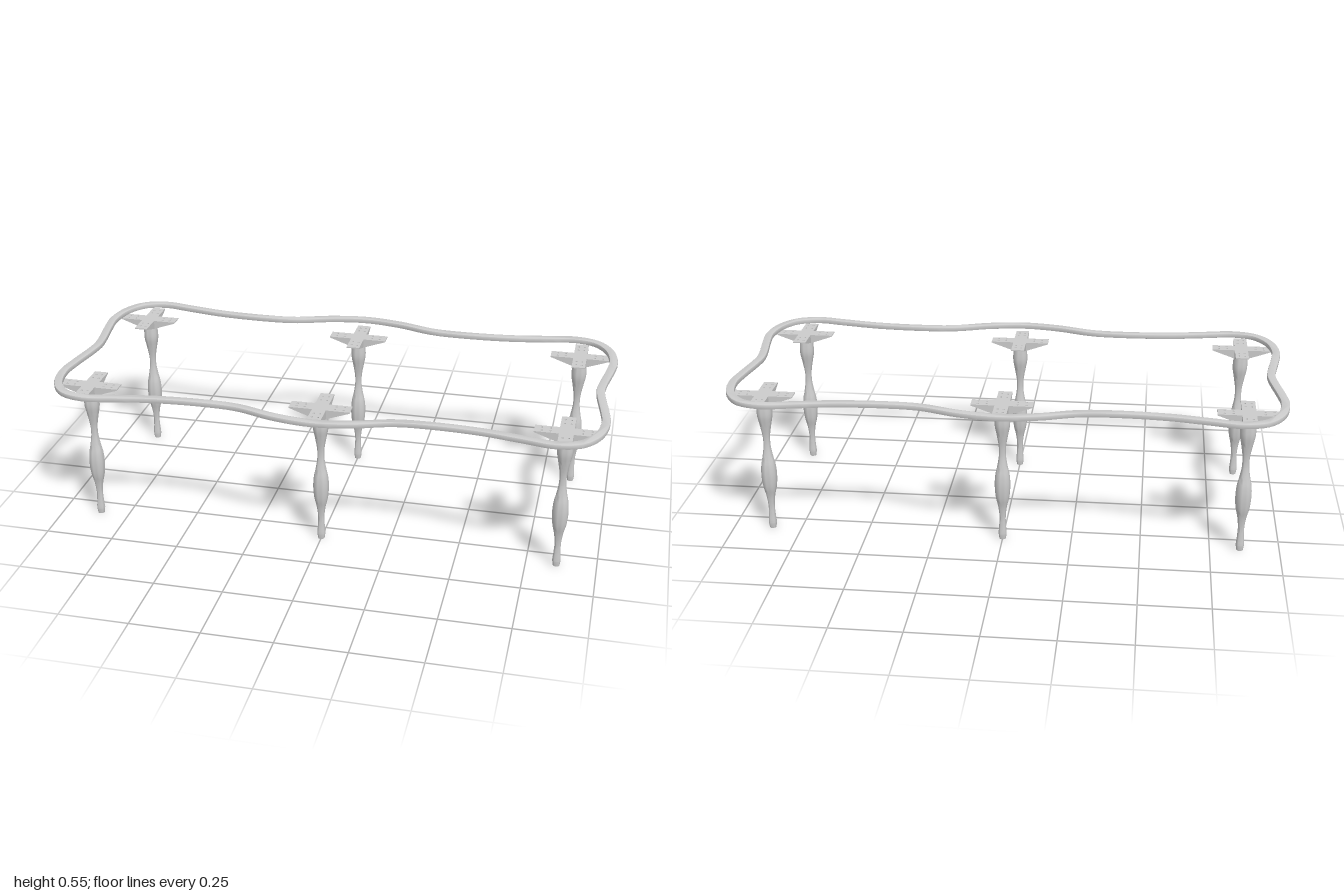
import * as THREE from 'three';
import { toCreasedNormals } from 'three/addons/utils/BufferGeometryUtils.js';

const material = new THREE.MeshStandardMaterial({ color: 0xcccccc });
const TOP = 0.552, RIM_BASE = 0.534, BRACKET_BASE = 0.5;

function part(name, geometry) {
  const mesh = new THREE.Mesh(geometry, material);
  mesh.name = name;
  return mesh;
}

// Wavy closed band: one quarter of the outer edge, mirrored and offset inward
function createRim() {
  const quarter = [
    [0.967, 0], [0.973, 0.06], [0.991, 0.17], [1, 0.26], [0.977, 0.37], [0.92, 0.443],
    [0.83, 0.468], [0.72, 0.45], [0.58, 0.426], [0.4, 0.417], [0.28, 0.425], [0.14, 0.468], [0, 0.487],
  ];
  const half = [...quarter, ...quarter.slice(0, -1).reverse().map(([x, z]) => [-x, z])];
  const loop = [...half, ...half.slice(1, -1).reverse().map(([x, z]) => [x, -z])];
  const curve = new THREE.CatmullRomCurve3(loop.map(([x, z]) => new THREE.Vector3(x, z, 0)), true);

  const bevel = 0.003, width = 0.03, count = 240;
  const offsetLoop = (inset) => Array.from({ length: count }, (_, i) => {
    const p = curve.getPointAt(i / count), t = curve.getTangentAt(i / count);
    return new THREE.Vector2(p.x - t.y * inset, p.y + t.x * inset);
  });
  const shape = new THREE.Shape(offsetLoop(bevel));
  shape.holes.push(new THREE.Path(offsetLoop(width - bevel).reverse()));
  const geometry = new THREE.ExtrudeGeometry(shape, {
    depth: TOP - RIM_BASE - 2 * bevel, bevelSize: bevel, bevelThickness: bevel, bevelSegments: 2,
  });
  geometry.rotateX(-Math.PI / 2).translate(0, RIM_BASE + bevel, 0);
  return part('tableRim', toCreasedNormals(geometry, 0.5));
}

// Turned leg with two swellings and a small foot
function createLegGeometry() {
  const profile = [
    [0.012, 0.02], [0.0145, 0.03], [0.0125, 0.055], [0.0115, 0.09], [0.016, 0.13], [0.025, 0.17], [0.0285, 0.215],
    [0.026, 0.255], [0.019, 0.29], [0.013, 0.33], [0.0135, 0.37], [0.021, 0.415], [0.028, 0.455], [0.026, 0.5],
  ];
  profile[0] = [0.015, 0.02];
  const turned = new THREE.SplineCurve(profile.map(([r, y]) => new THREE.Vector2(r, y))).getPoints(48);
  const points = [new THREE.Vector2(0, 0), new THREE.Vector2(0.012, 0), ...turned, new THREE.Vector2(0, BRACKET_BASE)];
  return toCreasedNormals(new THREE.LatheGeometry(points, 24), 0.6);
}

// Bracket arm: drilled plate whose underside tapers to a thin tip
function createArmGeometry() {
  const near = 0.025, far = 0.11, tip = 0.004, height = RIM_BASE - BRACKET_BASE;
  const shape = new THREE.Shape();
  shape.moveTo(near, -0.025).lineTo(far, -0.025).lineTo(far, 0.025).lineTo(near, 0.025).closePath();
  for (const x of [0.055, 0.085]) for (const y of [-0.011, 0.011]) {
    shape.holes.push(new THREE.Path().absarc(x, y, 0.004, 0, Math.PI * 2, true));
  }
  const geometry = new THREE.ExtrudeGeometry(shape, { depth: height, bevelEnabled: false, curveSegments: 6 });
  geometry.rotateX(-Math.PI / 2);
  const pos = geometry.attributes.position;
  for (let i = 0; i < pos.count; i++) {
    const slope = (pos.getX(i) - near) / (far - near);
    if (pos.getY(i) < height / 2) pos.setY(i, slope * (height - tip));
  }
  geometry.translate(0, BRACKET_BASE, 0);
  geometry.computeVertexNormals();
  return geometry;
}

export function createModel() {
  const model = new THREE.Group();
  model.name = 'table';
  model.add(createRim());

  const legGeometry = createLegGeometry();
  const armGeometry = createArmGeometry();
  const hubGeometry = new THREE.BoxGeometry(0.05, RIM_BASE - BRACKET_BASE, 0.05);
  hubGeometry.translate(0, (RIM_BASE + BRACKET_BASE) / 2, 0);

  // Six legs, each under a cross-shaped bracket
  for (const x of [-0.858, 0, 0.858]) for (const z of [-0.322, 0.322]) {
    const support = new THREE.Group();
    support.name = 'legAssembly';
    support.position.set(x, 0, z);
    support.add(part('leg', legGeometry), part('bracketHub', hubGeometry));
    for (let i = 0; i < 4; i++) {
      const arm = part('bracketArm', armGeometry);
      arm.rotation.y = i * Math.PI / 2;
      support.add(arm);
    }
    model.add(support);
  }
  return model;
}
